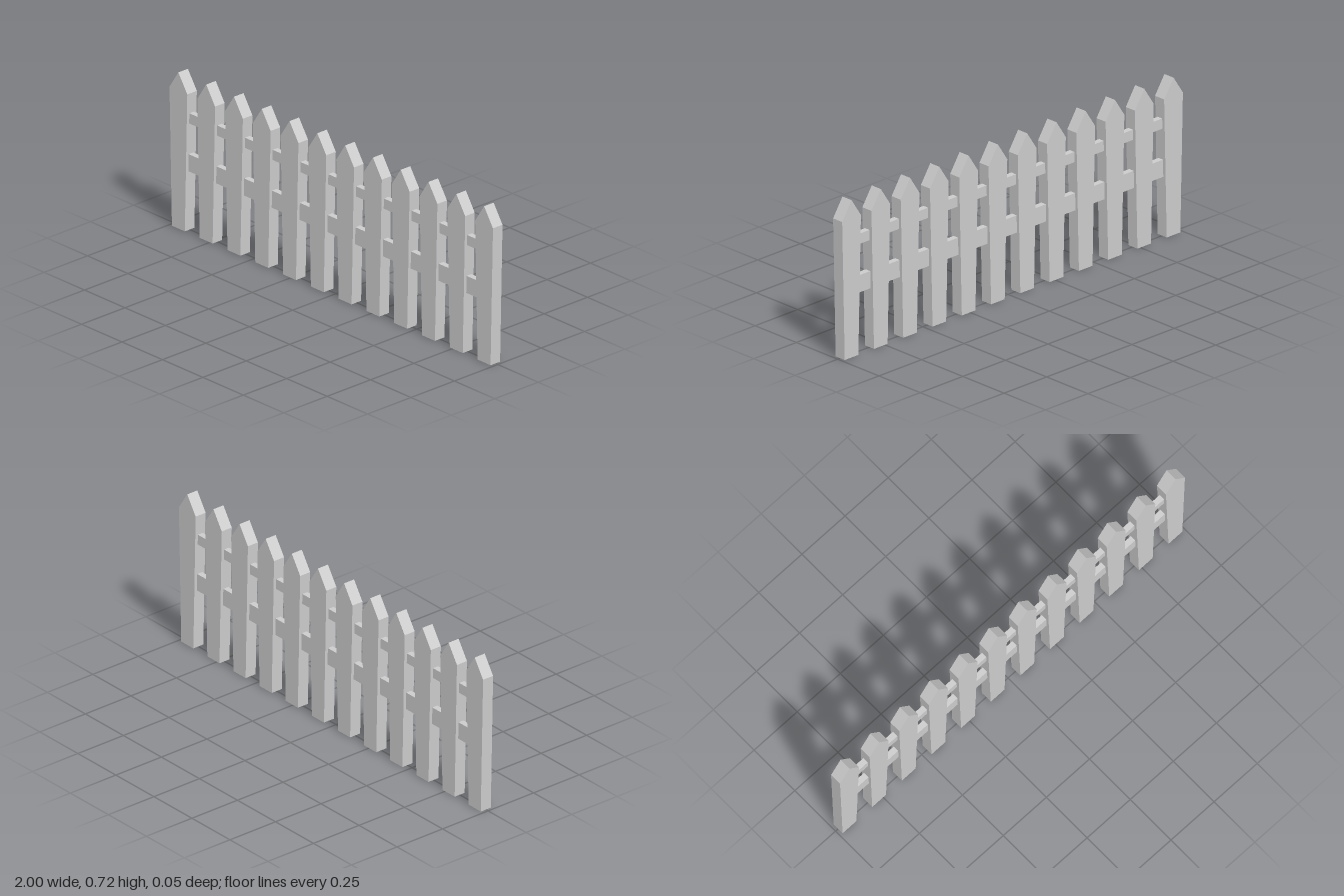
import * as THREE from 'three';

const material = new THREE.MeshStandardMaterial({ color: 0xcccccc, flatShading: true });
const PICKETS = 12;
const END_X = 0.945;
const DEPTH = 0.055;

// Board outline: narrow foot, wider shoulders, pointed top
function picketGeometry() {
  const outline = new THREE.Shape([
    new THREE.Vector2(-0.04, 0.007),
    new THREE.Vector2(0.04, 0.007),
    new THREE.Vector2(0.055, 0.644),
    new THREE.Vector2(0, 0.728),
    new THREE.Vector2(-0.055, 0.644),
  ]);
  const geometry = new THREE.ExtrudeGeometry(outline, { depth: DEPTH, bevelEnabled: false });
  return geometry.translate(0, 0, -DEPTH / 2);
}

// Horizontal rail between two heights, ending inside the outer pickets
function makeRail(name, bottom, top) {
  const rail = new THREE.Mesh(new THREE.BoxGeometry(END_X * 2, top - bottom, 0.027), material);
  rail.name = name;
  rail.position.y = (bottom + top) / 2;
  return rail;
}

export function createModel() {
  const fence = new THREE.Group();
  fence.name = 'picketFence';

  // Evenly spaced pickets
  const geometry = picketGeometry();
  for (let i = 0; i < PICKETS; i++) {
    const picket = new THREE.Mesh(geometry, material);
    picket.name = `picket${i + 1}`;
    picket.position.x = -END_X + (2 * END_X * i) / (PICKETS - 1);
    fence.add(picket);
  }

  // Rails running through the pickets
  fence.add(makeRail('lowerRail', 0.283, 0.362), makeRail('upperRail', 0.505, 0.552));
  return fence;
}
